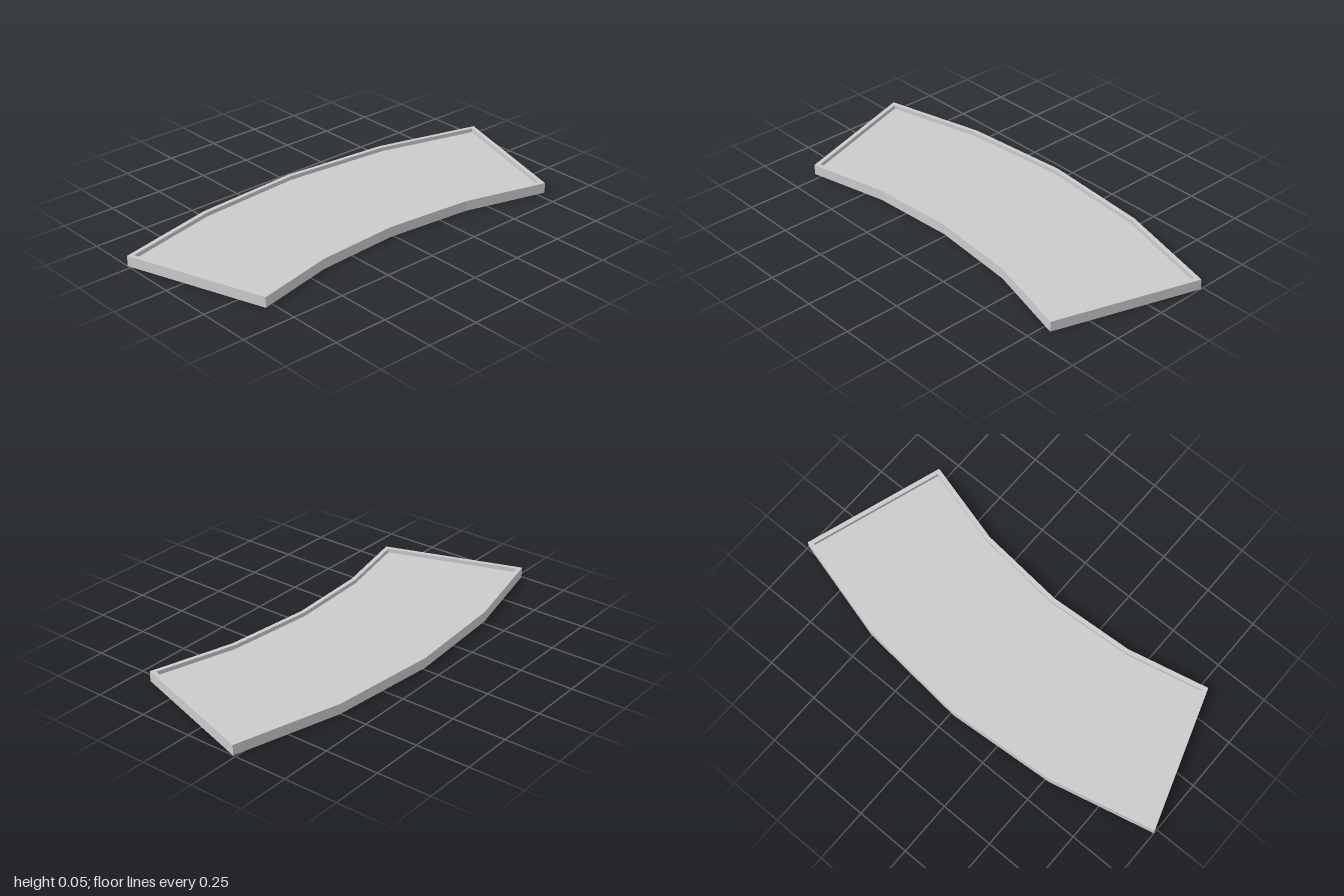
import * as THREE from 'three';

const HEIGHT = 0.048, FLOOR = 0.029, RIM = 0.02;

// Curved plan outline as [x, z]: back edge left to right, then front edge back
const OUTLINE = [
  [-1, -0.27], [-0.52, -0.383], [-0.015, -0.42], [0.503, -0.372], [1, -0.238],
  [0.79, 0.415], [0.397, 0.306], [-0.015, 0.265], [-0.41, 0.288], [-0.787, 0.372],
].map(([x, z]) => new THREE.Vector2(x, z));

// Mitred inward offset of a closed outline
function inset(points, distance) {
  const n = points.length;
  const normal = (a, b) => {
    const d = b.clone().sub(a).normalize();
    return new THREE.Vector2(-d.y, d.x);
  };
  return points.map((p, i) => {
    const n1 = normal(points[(i + n - 1) % n], p);
    const n2 = normal(p, points[(i + 1) % n]);
    return n1.clone().add(n2).multiplyScalar(distance / (1 + n1.dot(n2))).add(p);
  });
}

// Flat-faced band joining two matching outlines at given heights
function band(outlineA, yA, outlineB, yB) {
  const positions = [];
  const n = outlineA.length;
  for (let i = 0; i < n; i++) {
    const j = (i + 1) % n;
    const a = [outlineA[i].x, yA, outlineA[i].y], b = [outlineA[j].x, yA, outlineA[j].y];
    const c = [outlineB[i].x, yB, outlineB[i].y], d = [outlineB[j].x, yB, outlineB[j].y];
    positions.push(...a, ...c, ...b, ...b, ...c, ...d);
  }
  const geometry = new THREE.BufferGeometry();
  geometry.setAttribute('position', new THREE.Float32BufferAttribute(positions, 3));
  geometry.computeVertexNormals();
  return geometry;
}

// Horizontal filled outline, facing up (side 1) or down (side -1)
function cap(outline, y, side) {
  const shape = new THREE.Shape(outline.map((p) => new THREE.Vector2(p.x, -side * p.y)));
  return new THREE.ShapeGeometry(shape).rotateX(-side * Math.PI / 2).translate(0, y, 0);
}

export function createModel() {
  const group = new THREE.Group();
  group.name = 'curvedTray';
  const material = new THREE.MeshStandardMaterial({ color: 0xcccccc, flatShading: true });
  const add = (name, geometry) => {
    const mesh = new THREE.Mesh(geometry, material);
    mesh.name = name;
    group.add(mesh);
  };

  const inner = inset(OUTLINE, RIM);
  add('underside', cap(OUTLINE, 0, -1));
  add('outerWall', band(OUTLINE, 0, OUTLINE, HEIGHT));
  add('rimTop', band(OUTLINE, HEIGHT, inner, HEIGHT));
  add('innerWall', band(inner, HEIGHT, inner, FLOOR));
  add('trayFloor', cap(inner, FLOOR, 1));
  return group;
}
